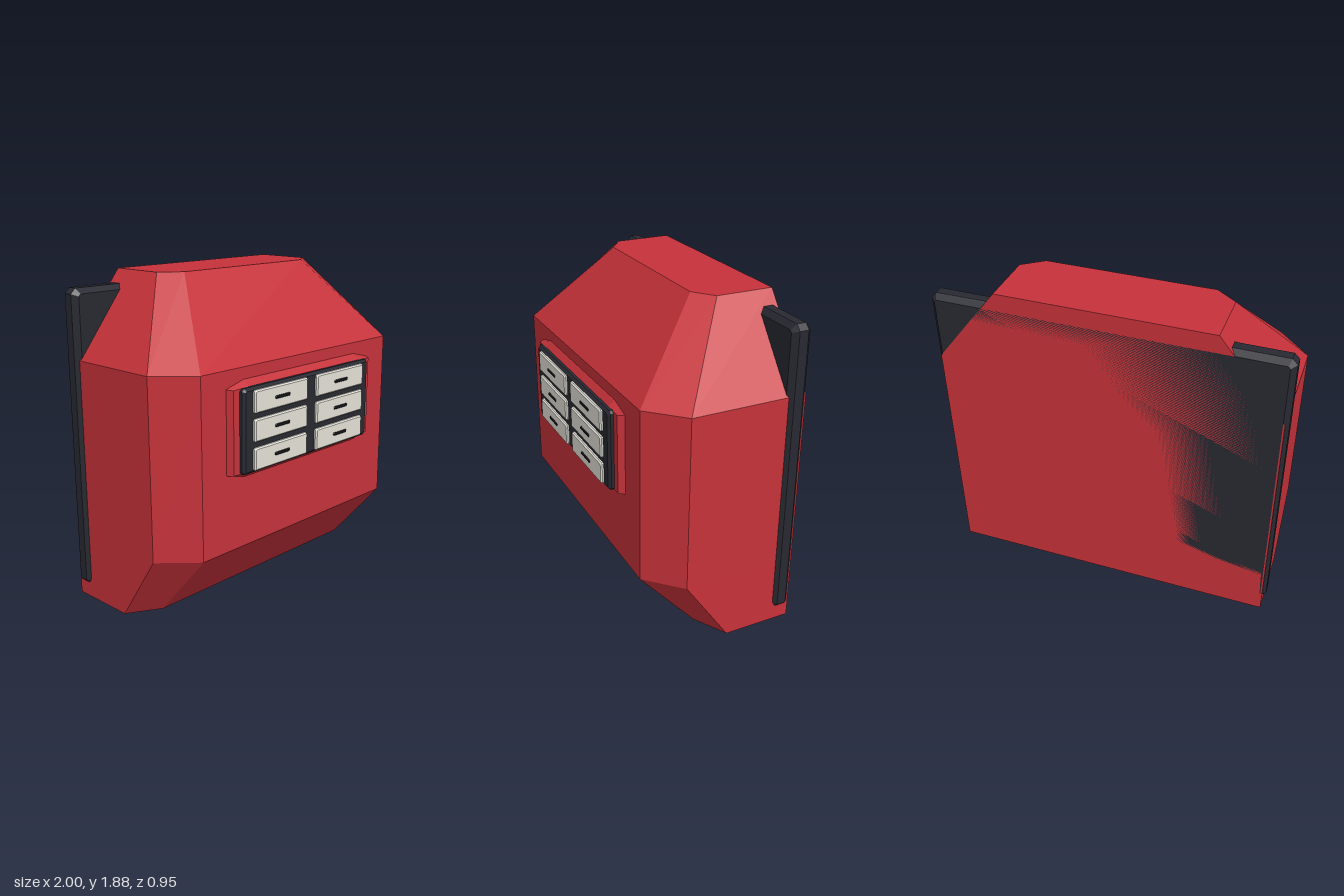
import * as THREE from 'three';

const mat = (name, color) => Object.assign(new THREE.MeshStandardMaterial({ color }), { name });

// Closed faceted solid through equal-length rings of points, one normal per facet
function loft(rings) {
  const n = rings[0].length, pos = [], nor = [];
  const vec = (a, b) => new THREE.Vector3(...b).sub(new THREE.Vector3(...a));
  const tri = (normal, ...pts) => pts.forEach((p) => {
    pos.push(...p);
    nor.push(...normal.toArray());
  });
  for (let r = 0; r < rings.length - 1; r++) {
    const a = rings[r], b = rings[r + 1];
    for (let i = 0; i < n; i++) {
      const j = (i + 1) % n;
      const normal = vec(a[i], b[j]).cross(vec(a[j], b[i])).normalize();
      tri(normal, a[i], a[j], b[j]);
      tri(normal, a[i], b[j], b[i]);
    }
  }
  const lo = rings[0], hi = rings[rings.length - 1];
  const up = vec(hi[0], hi[1]).cross(vec(hi[0], hi[2])).normalize();
  const down = up.clone().negate();
  for (let i = 1; i < n - 1; i++) {
    tri(down, lo[0], lo[i + 1], lo[i]);
    tri(up, hi[0], hi[i], hi[i + 1]);
  }
  const g = new THREE.BufferGeometry();
  g.setAttribute('position', new THREE.Float32BufferAttribute(pos, 3));
  g.setAttribute('normal', new THREE.Float32BufferAttribute(nor, 3));
  return g;
}

// Box with every edge cut by c, centred on its origin
function chamferBox(w, h, d, c) {
  const x = w / 2, y = h / 2;
  const shape = new THREE.Shape([
    [-x + c, -y], [x - c, -y], [x, -y + c], [x, y - c],
    [x - c, y], [-x + c, y], [-x, y - c], [-x, -y + c],
  ].map(([px, py]) => new THREE.Vector2(px, py)));
  return new THREE.ExtrudeGeometry(shape, {
    depth: d - 2 * c, bevelEnabled: true, bevelSegments: 1,
    bevelSize: c, bevelThickness: c, bevelOffset: -c,
  }).translate(0, 0, -d / 2 + c);
}

export function createModel() {
  const red = mat('red shell', 0xc6323a);
  const dark = mat('dark metal', 0x282931);
  const grey = mat('pale drawer', 0xe4e1d8);
  const black = mat('black handle', 0x18191d);

  const model = new THREE.Group();
  const add = (name, geometry, material, x = 0, y = 0, z = 0, parent = model) => {
    const m = new THREE.Mesh(geometry, material);
    m.name = name;
    m.position.set(x, y, z);
    parent.add(m);
  };

  // Faceted shell: [height, front half width, front z, side half width, side z]
  const back = -0.475;
  const shell = [
    [0, 0.79, 0.04, 0.98, -0.07],
    [0.395, 0.79, 0.385, 0.98, 0.195],
    [1.415, 0.79, 0.385, 0.98, 0.195],
    [1.882, 0.49, -0.05, 0.61, -0.14],
  ].map(([y, f, zf, s, zs]) => [
    [-f, y, zf], [f, y, zf], [s, y, zs], [s, y, back], [-s, y, back], [-s, y, zs],
  ]);
  add('shell', loft(shell), red);

  // Dark slab let into the rear, flush with the back of the shell
  const slab = 0.114;
  add('backPanel', chamferBox(2, 1.73, slab, 0.03), dark, 0, 0.942, back + slab / 2);

  // Raised surround on the front
  const ring = (z, side, mid, y0, y1, edge0, edge1) => [
    [-mid, y0, z], [mid, y0, z], [side, edge0, z], [side, edge1, z],
    [mid, y1, z], [-mid, y1, z], [-side, edge1, z], [-side, edge0, z],
  ];
  add('drawerSurround', loft([
    ring(0.375, 0.61, 0.48, 0.8, 1.35, 0.835, 1.315),
    ring(0.388, 0.61, 0.48, 0.803, 1.347, 0.837, 1.313),
    ring(0.42, 0.59, 0.48, 0.838, 1.312, 0.84, 1.31),
  ]), red);

  // Cabinet with two columns of three drawers
  const cabinet = new THREE.Group();
  cabinet.name = 'drawerCabinet';
  model.add(cabinet);
  add('cabinetFrame', chamferBox(1.09, 0.478, 0.05, 0.015), dark, 0, 1.074, 0.427, cabinet);
  const drawerGeo = chamferBox(0.435, 0.128, 0.03, 0.008);
  const handleGeo = chamferBox(0.12, 0.018, 0.012, 0.004);
  for (const x of [-0.257, 0.257]) {
    for (const y of [0.914, 1.075, 1.234]) {
      add('drawer', drawerGeo, grey, x, y, 0.454, cabinet);
      add('drawerHandle', handleGeo, black, x, y, 0.469, cabinet);
    }
  }
  return model;
}
